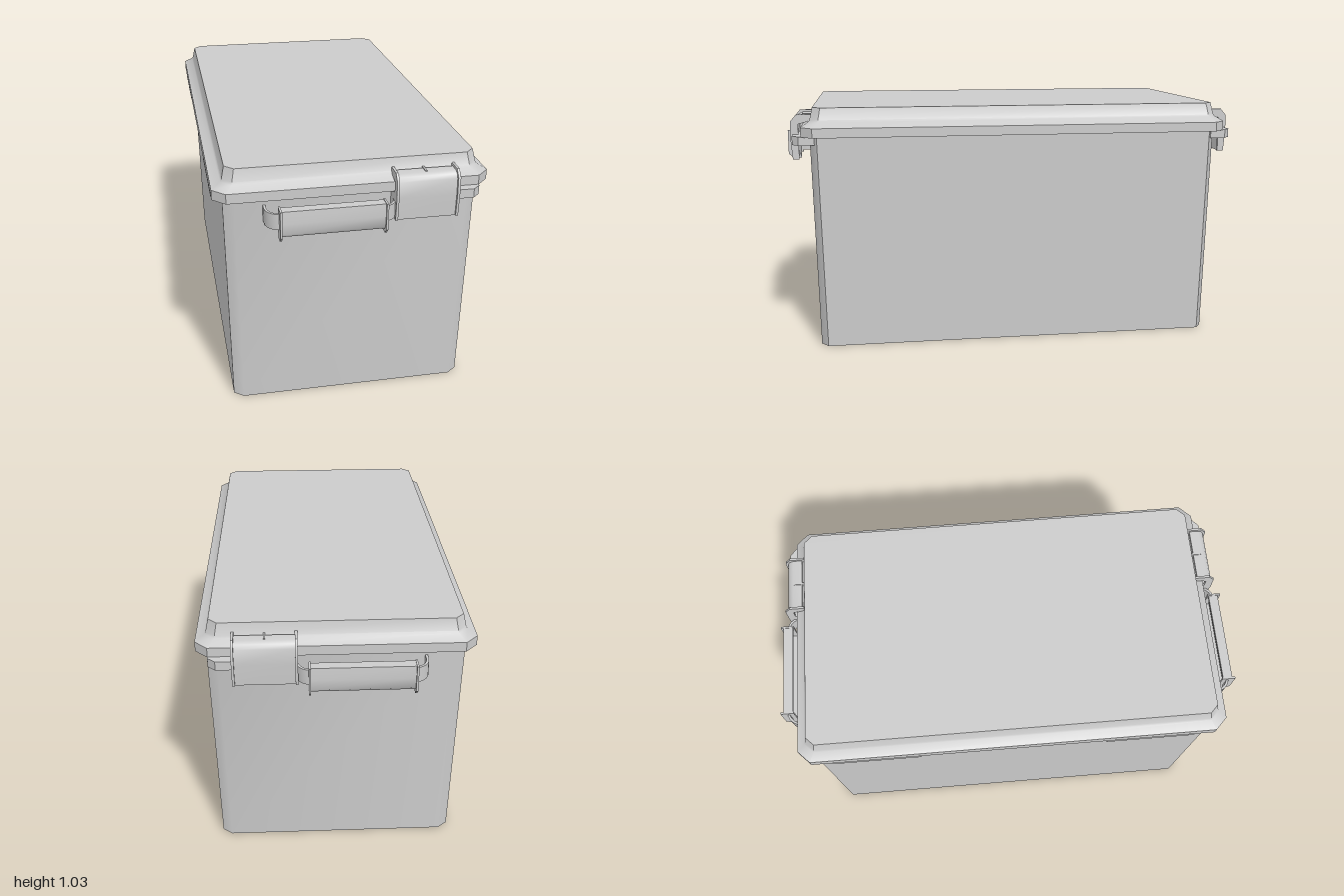
import * as THREE from 'three';
import { toCreasedNormals } from 'three/addons/utils/BufferGeometryUtils.js';

const material = new THREE.MeshStandardMaterial({ color: 0xcccccc });

function add(group, name, geometry) {
  const mesh = new THREE.Mesh(geometry, material);
  mesh.name = name;
  group.add(mesh);
}

// Stack of corner-cut rectangles [halfX, halfZ, y, cutX, cutZ], closed at both ends
function loft(rings, crease) {
  const pos = [], idx = [], n = 8;
  for (const [a, b, y, cx, cz] of rings) {
    const corners = [[a, b - cz], [a, cz - b], [a - cx, -b], [cx - a, -b],
      [-a, cz - b], [-a, b - cz], [cx - a, b], [a - cx, b]];
    for (const [x, z] of corners) pos.push(x, y, z);
  }
  for (let r = 0; r < rings.length - 1; r++) {
    for (let i = 0; i < n; i++) {
      const p = r * n + i, q = r * n + (i + 1) % n;
      idx.push(p, q, q + n, p, q + n, p + n);
    }
  }
  const top = (rings.length - 1) * n;
  for (let i = 1; i < n - 1; i++) idx.push(0, i + 1, i, top, top + i, top + i + 1);
  const g = new THREE.BufferGeometry();
  g.setAttribute('position', new THREE.Float32BufferAttribute(pos, 3));
  g.setIndex(idx);
  return toCreasedNormals(g, crease);
}

const toShape = (pts) => new THREE.Shape(pts.map(([u, v]) => new THREE.Vector2(u, v)));

// Side profile [z, y] swept from x0 to x1; s = -1 puts it at the back
function sweepX(pts, x0, x1, s) {
  const shape = toShape(pts.map(([z, y]) => [s * z, y]));
  const g = new THREE.ExtrudeGeometry(shape, { depth: x1 - x0, bevelEnabled: false });
  g.rotateY(-Math.PI / 2).translate(x1, 0, 0);
  return toCreasedNormals(g, 0.7);
}

// Plan outline [x, z] swept from y0 to y1
function sweepY(pts, y0, y1, s) {
  const shape = toShape(pts.map(([x, z]) => [x, s * z]));
  const g = new THREE.ExtrudeGeometry(shape, { depth: y1 - y0, bevelEnabled: false });
  g.rotateX(Math.PI / 2).translate(0, y1, 0);
  return toCreasedNormals(g, 0.7);
}

// Half of the bent handle strap in plan, from the wall round to the grip
function strapSide(radius, mirror) {
  const pts = [[-0.19 - radius, 0.865]];
  for (let i = 0; i <= 8; i++) {
    const t = (i / 8) * Math.PI / 2;
    pts.push([-0.19 - radius * Math.cos(t), 0.91 + radius * Math.sin(t)]);
  }
  return mirror ? pts.map(([x, z]) => [-x, z]).reverse() : pts;
}

function createHandle(s) {
  const handle = new THREE.Group();
  handle.name = s > 0 ? 'frontHandle' : 'backHandle';
  // strap, built around x = 0 and then shifted sideways
  const outline = [...strapSide(0.065, false), ...strapSide(0.065, true),
    ...strapSide(0.055, false).concat(strapSide(0.055, true)).reverse()];
  outline.forEach((p) => { p[0] -= 0.095; });
  add(handle, 'handleStrap', sweepY(outline, 0.82, 0.884, s));
  // channel-shaped grip
  const channel = [[0.947, 0.805], [0.958, 0.793], [0.978, 0.793], [0.988, 0.805], [0.992, 0.85],
    [0.988, 0.9], [0.947, 0.9], [0.947, 0.887], [0.978, 0.887], [0.981, 0.85], [0.977, 0.805]];
  add(handle, 'handleGrip', sweepX(channel, -0.298, 0.108, s));
  // end flanges
  const flange = [[0.943, 0.776], [0.98, 0.776], [1.0, 0.796], [1.0, 0.903], [0.943, 0.903]];
  for (const x of [-0.301, 0.103]) add(handle, 'handleFlange', sweepX(flange, x, x + 0.008, s));
  return handle;
}

function createLatch(s) {
  const latch = new THREE.Group();
  latch.name = s > 0 ? 'frontLatch' : 'backLatch';
  // curved cover plate
  const cover = [[0.885, 0.99], [0.925, 0.99], [0.942, 0.982], [0.952, 0.965], [0.954, 0.9],
    [0.95, 0.81], [0.938, 0.81], [0.942, 0.9], [0.94, 0.955], [0.932, 0.972], [0.92, 0.978], [0.885, 0.978]];
  add(latch, 'latchCover', sweepX(cover, 0.155, 0.395, s));
  // side plates and the central rib on top
  const plate = [[0.875, 0.975], [0.875, 1.0], [0.938, 1.0], [0.962, 0.972], [0.964, 0.9], [0.957, 0.81],
    [0.93, 0.81], [0.93, 0.96]];
  for (const x of [0.15, 0.39]) add(latch, 'latchSide', sweepX(plate, x, x + 0.01, s));
  const rib = [[0.87, 0.96], [0.87, 0.994], [0.92, 0.994], [0.93, 0.96]];
  add(latch, 'latchRib', sweepX(rib, 0.271, 0.279, s));
  // mounting ledge under the lid
  const ledge = [[0.15, 0.86], [0.49, 0.86], [0.49, 0.925], [0.46, 0.953], [0.39, 0.953], [0.39, 0.935], [0.15, 0.935]];
  add(latch, 'latchLedge', sweepY(ledge, 0.88, 0.917, s));
  return latch;
}

export function createModel() {
  const box = new THREE.Group();
  box.name = 'storageBox';

  add(box, 'body', loft([
    [0.485, 0.865, 0, 0.04, 0.03],
    [0.5, 0.88, 0.92, 0.04, 0.03],
  ], 0.8));

  add(box, 'lid', loft([
    [0.54, 0.915, 0.915, 0.05, 0.05],
    [0.54, 0.915, 0.955, 0.05, 0.05],
    [0.503, 0.882, 0.977, 0.038, 0.038],
    [0.498, 0.877, 0.985, 0.036, 0.036],
    [0.487, 0.866, 1.035, 0.034, 0.034],
  ], 0.76));

  // hinge tabs under the right edge of the lid
  for (const z of [-0.59, 0.59]) {
    const tab = toShape([[-0.49, 0.87], [-0.505, 0.87], [-0.538, 0.89], [-0.538, 0.917], [-0.49, 0.917]]);
    const g = new THREE.ExtrudeGeometry(tab, { depth: 0.38, bevelEnabled: false });
    add(box, 'hingeTab', g.translate(0, 0, z - 0.19));
  }

  // the same hardware at both ends
  for (const s of [1, -1]) box.add(createHandle(s), createLatch(s));
  return box;
}
